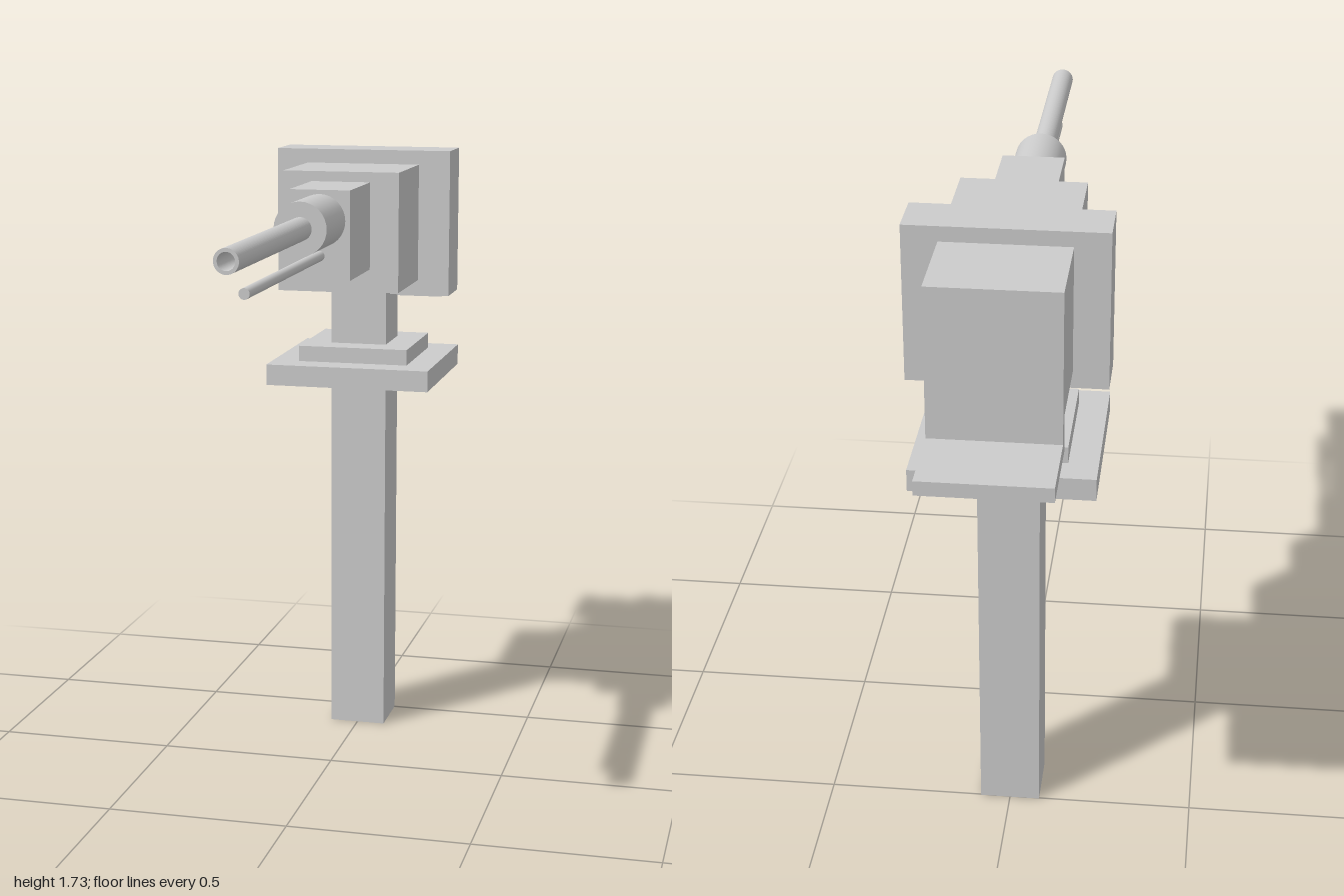
import * as THREE from 'three';

const material = new THREE.MeshStandardMaterial({ color: 0xcccccc });

export function createModel() {
  const model = new THREE.Group();

  const add = (name, geometry) => {
    const mesh = new THREE.Mesh(geometry, material);
    mesh.name = name;
    model.add(mesh);
    return mesh;
  };

  // Box centred on x, given its width and its y and z extents
  const box = (name, width, y0, y1, z0, z1) =>
    add(name, new THREE.BoxGeometry(width, y1 - y0, z1 - z0))
      .position.set(0, (y0 + y1) / 2, (z0 + z1) / 2);

  // Solid rod running along z
  const rod = (name, radius, y, z0, z1) =>
    add(name, new THREE.CylinderGeometry(radius, radius, z1 - z0, 32).rotateX(Math.PI / 2))
      .position.set(0, y, (z0 + z1) / 2);

  // Stand
  box('post', 0.163, 0, 1.356, -0.503, -0.34);
  box('lowerPlate', 0.475, 1.065, 1.125, -0.658, -0.183);
  box('upperPlate', 0.32, 1.125, 1.17, -0.581, -0.262);

  // Stepped housing
  box('housing', 0.33, 1.356, 1.69, -0.793, -0.115);
  box('collar', 0.512, 1.312, 1.73, -0.532, -0.391);
  box('noseBlock', 0.167, 1.42, 1.662, -0.115, 0.127);

  // L-shaped rear bracket, extruded across x
  const profile = new THREE.Shape([
    [0.756, 1.356], [0.756, 1.255], [1, 1.255], [1, 1.293], [0.793, 1.293], [0.793, 1.356],
  ].map(([x, y]) => new THREE.Vector2(x, y)));
  const bracket = new THREE.ExtrudeGeometry(profile, { depth: 0.33, bevelEnabled: false });
  bracket.translate(0, 0, -0.165).rotateY(Math.PI / 2);
  add('rearBracket', bracket);

  // Sleeve and lower rod
  rod('sleeve', 0.071, 1.58, 0.127, 0.333);
  rod('lowerRod', 0.014, 1.485, 0.127, 0.855);

  // Hollow barrel: a ring extruded along z
  const ring = new THREE.Shape().absarc(0, 0, 0.031, 0, Math.PI * 2, false);
  ring.holes.push(new THREE.Path().absarc(0, 0, 0.022, 0, Math.PI * 2, true));
  add('barrel', new THREE.ExtrudeGeometry(ring, { depth: 0.667, bevelEnabled: false, curveSegments: 32 }))
    .position.set(0, 1.58, 0.333);

  return model;
}
